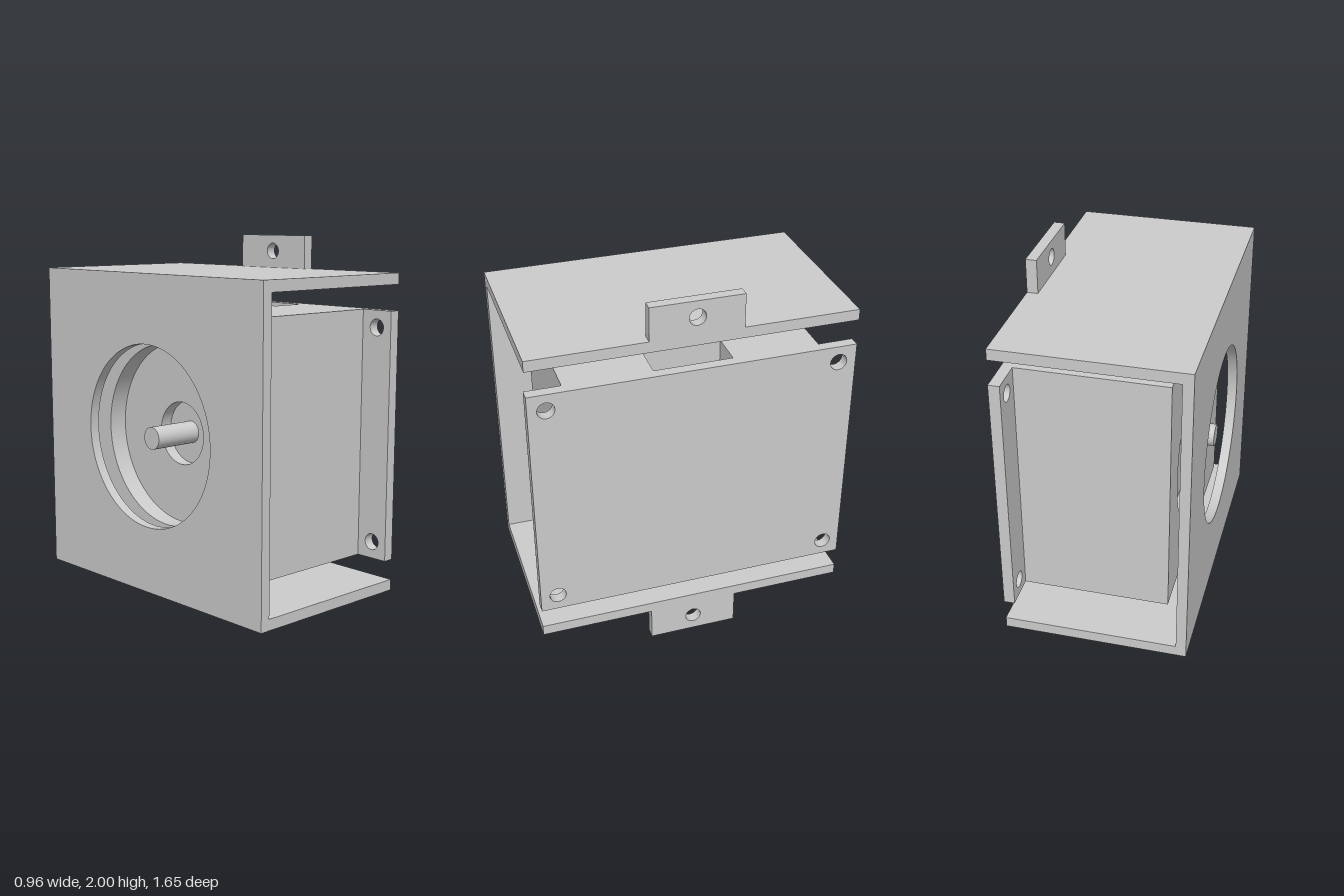
import * as THREE from 'three';
import { toCreasedNormals } from 'three/addons/utils/BufferGeometryUtils.js';

const material = new THREE.MeshStandardMaterial({ color: 0xcccccc });
const MID = 0.99; // height of the body's centre

function addMesh(parent, name, geometry) {
  const mesh = new THREE.Mesh(geometry, material);
  mesh.name = name;
  parent.add(mesh);
  return mesh;
}

// Outline across z (horizontal) and y, pushed out along x from x0 to x1
function slab(parent, name, x0, x1, outline, holes = []) {
  const shape = new THREE.Shape(outline.map(([u, v]) => new THREE.Vector2(u, v)));
  for (const [u, v, r] of holes) {
    shape.holes.push(new THREE.Path().absarc(u, v, r, 0, Math.PI * 2, true));
  }
  const geometry = new THREE.ExtrudeGeometry(shape, {
    depth: x1 - x0, bevelEnabled: false, curveSegments: 48,
  });
  geometry.rotateY(Math.PI / 2).translate(x0, 0, 0);
  return addMesh(parent, name, toCreasedNormals(geometry, 0.5));
}

const rect = (halfWidth, y0, y1) => [
  [-halfWidth, y0], [halfWidth, y0], [halfWidth, y1], [-halfWidth, y1],
];

function createBracket() {
  const bracket = new THREE.Group();
  bracket.name = 'bracket';

  // Upright panel with the large round opening
  slab(bracket, 'bracketPanel', -0.48, -0.427, rect(0.825, 0.18, 1.825), [[0, 1, 0.472]]);

  // Upper and lower flanges, each with a drilled mounting tab
  slab(bracket, 'upperFlange', -0.427, 0.473, rect(0.825, 1.768, 1.825));
  slab(bracket, 'lowerFlange', -0.427, 0.473, rect(0.825, 0.18, 0.237));
  slab(bracket, 'upperTab', 0.417, 0.473, rect(0.235, 1.825, 2), [[0, 1.915, 0.042]]);
  slab(bracket, 'lowerTab', 0.417, 0.473, rect(0.235, 0, 0.18), [[0, 0.09, 0.042]]);
  return bracket;
}

function createMotor() {
  const motor = new THREE.Group();
  motor.name = 'motor';
  const y0 = 0.345, y1 = 1.637, half = 0.645;
  const square = rect(half, y0, y1);

  // Body in layers: wide recess, shaft bore, solid core
  slab(motor, 'bodyRecess', -0.345, -0.245, square, [[0, MID, 0.472]]);
  slab(motor, 'bodyBore', -0.245, -0.18, square, [[0, MID, 0.165]]);
  slab(motor, 'bodyCore', -0.18, 0.24, square);

  // Rear layer with a notch in its top edge
  const notch = 0.2, floor = y1 - 0.25;
  slab(motor, 'bodyNotched', 0.24, 0.42, [
    [-half, y0], [half, y0], [half, y1], [notch, y1],
    [notch, floor], [-notch, floor], [-notch, y1], [-half, y1],
  ]);

  // Mounting plate with a hole in each corner
  const corners = [];
  for (const u of [-0.735, 0.735]) {
    for (const v of [0.432, 1.55]) corners.push([u, v, 0.043]);
  }
  slab(motor, 'mountingPlate', 0.42, 0.477, rect(0.825, y0, y1), corners);

  // Output shaft
  const shaft = new THREE.CylinderGeometry(0.058, 0.058, 0.27, 48);
  shaft.rotateZ(Math.PI / 2).translate(-0.315, MID, 0);
  addMesh(motor, 'shaft', shaft);
  return motor;
}

export function createModel() {
  const model = new THREE.Group();
  model.name = 'motorInBracket';
  model.add(createBracket(), createMotor());
  return model;
}
